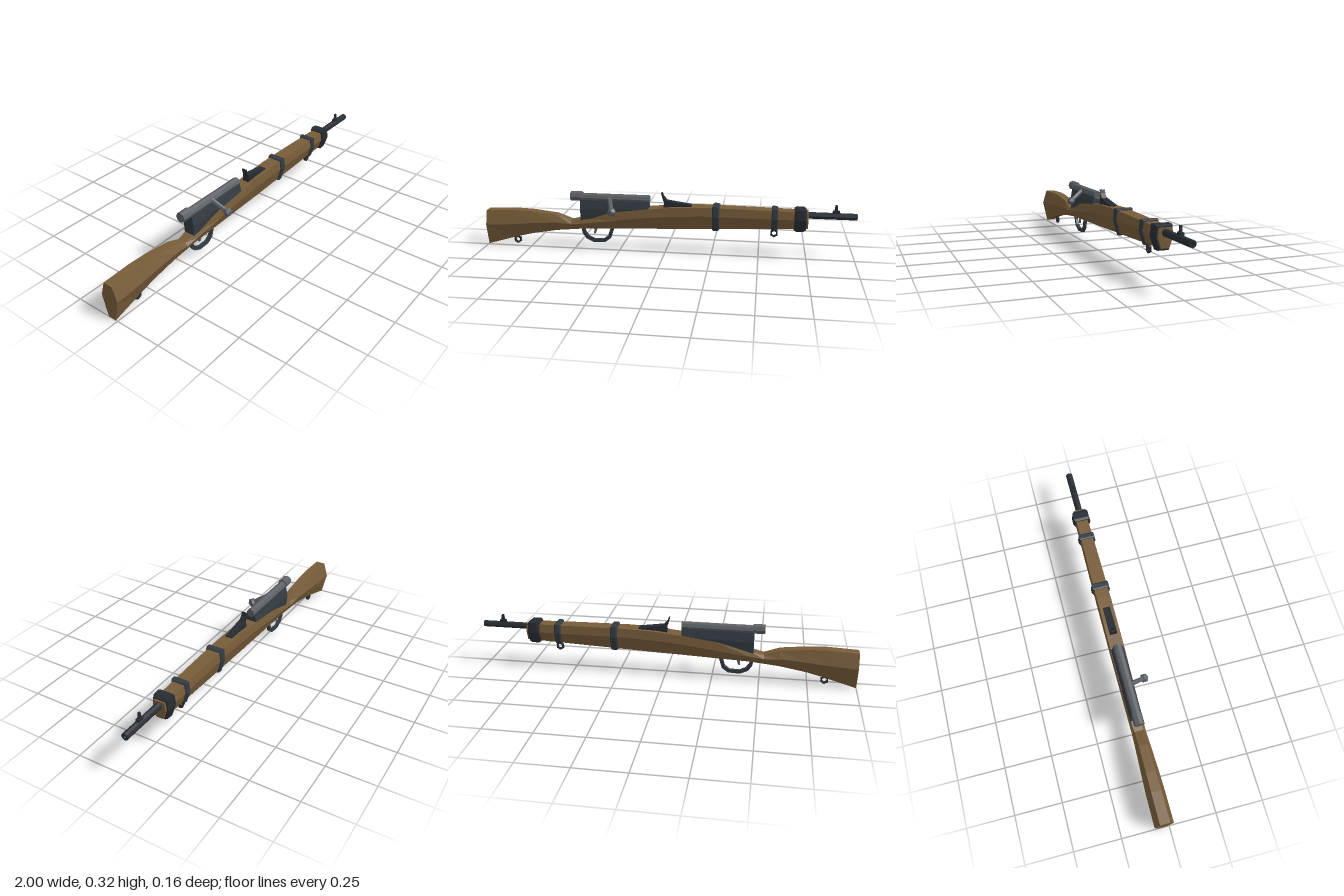
import * as THREE from 'three';

const mat = (name, color) => new THREE.MeshStandardMaterial({ name, color, flatShading: true });

// Solid lofted along x. Each ring is [x, top, mid, bottom, halfTop, halfMid, halfBottom].
function loft(rings) {
  const pos = [], pts = rings.map(([x, t, m, b, wt, wm, wb]) =>
    [[x, t, -wt], [x, t, wt], [x, m, wm], [x, b, wb], [x, b, -wb], [x, m, -wm]]);
  const tri = (...p) => p.forEach(q => pos.push(...q));
  for (let i = 0; i < pts.length - 1; i++) {
    for (let j = 0; j < 6; j++) {
      const k = (j + 1) % 6, a = pts[i], c = pts[i + 1];
      tri(a[j], a[k], c[k]);
      tri(a[j], c[k], c[j]);
    }
  }
  const first = pts[0], last = pts[pts.length - 1];
  for (let j = 1; j < 5; j++) {
    tri(last[0], last[j], last[j + 1]);
    tri(first[0], first[j + 1], first[j]);
  }
  const g = new THREE.BufferGeometry();
  g.setAttribute('position', new THREE.Float32BufferAttribute(pos, 3));
  g.computeVertexNormals();
  return g;
}

// Side outline (x, y) extruded to a width centred on z = 0
function plate(points, width, hole) {
  const shape = new THREE.Shape(points.map(p => new THREE.Vector2(...p)));
  if (hole) shape.holes.push(new THREE.Path(hole.map(p => new THREE.Vector2(...p))));
  return new THREE.ExtrudeGeometry(shape, { depth: width, bevelEnabled: false }).translate(0, 0, -width / 2);
}

const rodX = (r, x0, x1, y, sides) =>
  new THREE.CylinderGeometry(r, r, x1 - x0, sides).rotateZ(-Math.PI / 2).translate((x0 + x1) / 2, y, 0);

// Stock sections from butt to fore-end
const STOCK = [
  [-1.00, 0.198, 0.120, 0.003, 0.026, 0.050, 0.023],
  [-0.84, 0.205, 0.130, 0.050, 0.026, 0.049, 0.022],
  [-0.74, 0.202, 0.140, 0.075, 0.024, 0.046, 0.021],
  [-0.60, 0.187, 0.147, 0.099, 0.022, 0.040, 0.020],
  [-0.52, 0.157, 0.140, 0.107, 0.023, 0.037, 0.020],
  [-0.45, 0.172, 0.148, 0.114, 0.027, 0.038, 0.020],
  [-0.27, 0.218, 0.172, 0.122, 0.034, 0.040, 0.021],
  [-0.09, 0.242, 0.197, 0.130, 0.036, 0.042, 0.022],
  [0.05, 0.257, 0.208, 0.135, 0.036, 0.042, 0.022],
  [0.20, 0.263, 0.216, 0.142, 0.036, 0.042, 0.022],
  [0.45, 0.261, 0.216, 0.152, 0.034, 0.040, 0.021],
  [0.752, 0.257, 0.214, 0.165, 0.030, 0.036, 0.019],
];

function sectionAt(x) {
  const i = Math.max(1, STOCK.findIndex(s => s[0] >= x));
  const a = STOCK[i - 1], b = STOCK[i], f = (x - a[0]) / (b[0] - a[0]);
  return a.map((v, k) => v + (b[k] - v) * f);
}

// Band wrapped around the stock with chamfered edges
function band(x0, x1, grow) {
  const c = (x1 - x0) * 0.2;
  return loft([[x0, grow * 0.5], [x0 + c, grow], [x1 - c, grow], [x1, grow * 0.5]].map(([x, g]) => {
    const [, t, m, b, wt, wm, wb] = sectionAt(x);
    return [x, t + g, m, b - g, wt + g, wm + g, wb + g * 0.6];
  }));
}

export function createModel() {
  const wood = mat('wood', 0x775c39);
  const steel = mat('blued steel', 0x333b42);
  const dark = mat('dark steel', 0x272c32);
  const grey = mat('grey steel', 0x5c6064);
  const bore = mat('bore black', 0x101214);

  const model = new THREE.Group();
  model.name = 'rifle';
  const body = new THREE.Group();
  body.name = 'body';
  body.position.z = -0.033;
  model.add(body);
  const add = (name, geometry, material) => {
    const m = new THREE.Mesh(geometry, material);
    m.name = name;
    body.add(m);
    return m;
  };

  add('stock', loft(STOCK), wood);

  // Bands and nose cap
  add('rearBand', band(0.252, 0.29, 0.009), steel);
  add('frontBand', band(0.562, 0.596, 0.009), steel);
  add('noseCap', band(0.68, 0.742, 0.012), dark);

  // Barrel with recessed muzzle
  const barrelProfile = [[0.018, 0], [0.018, 0.3], [0.009, 0.3], [0.009, 0.27]].map(p => new THREE.Vector2(...p));
  add('barrel', new THREE.LatheGeometry(barrelProfile, 8).rotateZ(-Math.PI / 2).translate(0.7, 0.235, 0), dark);
  add('bore', rodX(0.0092, 0.965, 0.972, 0.235, 8), bore);

  // Front sight
  add('frontSightBase', new THREE.BoxGeometry(0.034, 0.014, 0.018).translate(0.892, 0.257, 0), dark);
  add('frontSightPost', plate([[0.882, 0.26], [0.901, 0.26], [0.897, 0.294], [0.887, 0.294]], 0.009), dark);

  // Rear sight ramp and raised leaf
  add('rearSightRamp', plate([[-0.012, 0.245], [0.14, 0.255], [0.14, 0.267], [-0.005, 0.288]], 0.038), dark);
  add('rearSightLeaf', plate([[-0.012, 0.284], [0.012, 0.284], [-0.012, 0.31], [-0.017, 0.327], [-0.024, 0.327]], 0.028), dark);

  // Receiver
  add('receiver', loft([
    [-0.465, 0.276, 0.225, 0.15, 0.022, 0.032, 0.028],
    [-0.09, 0.28, 0.24, 0.18, 0.024, 0.034, 0.032],
  ]), steel);

  // Bolt, its rear cap and its handle
  add('bolt', rodX(0.023, -0.47, -0.087, 0.288, 8), grey);
  add('boltCap', rodX(0.027, -0.52, -0.458, 0.292, 8), grey);
  const from = new THREE.Vector3(-0.305, 0.29, 0.012), to = new THREE.Vector3(-0.277, 0.235, 0.093);
  const dir = to.clone().sub(from);
  const handle = add('boltHandle', new THREE.CylinderGeometry(0.011, 0.013, dir.length(), 6), grey);
  handle.position.copy(from).addScaledVector(dir, 0.5);
  handle.quaternion.setFromUnitVectors(new THREE.Vector3(0, 1, 0), dir.normalize());
  add('boltKnob', new THREE.IcosahedronGeometry(0.025, 0).translate(to.x, to.y, to.z), grey);

  // Trigger guard: an angular strip, with the trigger inside
  add('triggerGuard', plate([
    [-0.468, 0.118], [-0.462, 0.085], [-0.442, 0.055], [-0.4, 0.035], [-0.335, 0.038], [-0.303, 0.062], [-0.284, 0.125],
    [-0.302, 0.125], [-0.319, 0.074], [-0.343, 0.055], [-0.396, 0.053], [-0.428, 0.069], [-0.445, 0.093], [-0.45, 0.118],
  ], 0.016), steel);
  add('trigger', plate([[-0.398, 0.125], [-0.396, 0.103], [-0.399, 0.083], [-0.39, 0.083], [-0.382, 0.103], [-0.38, 0.125]], 0.01), grey);

  // Sling swivels: hexagonal rings
  const hex = (x, y, r) => Array.from({ length: 6 }, (_, i) => {
    const a = i * Math.PI / 3 + Math.PI / 6;
    return [x + r * Math.cos(a), y + r * Math.sin(a)];
  });
  for (const [name, x, y] of [['rearSwivel', -0.838, 0.029], ['frontSwivel', 0.579, 0.129]]) {
    add(name, plate(hex(x, y, 0.022), 0.012, hex(x, y, 0.013)), dark);
    add(name + 'Mount', new THREE.BoxGeometry(0.014, 0.016, 0.012).translate(x, y + 0.024, 0), dark);
  }

  return model;
}
